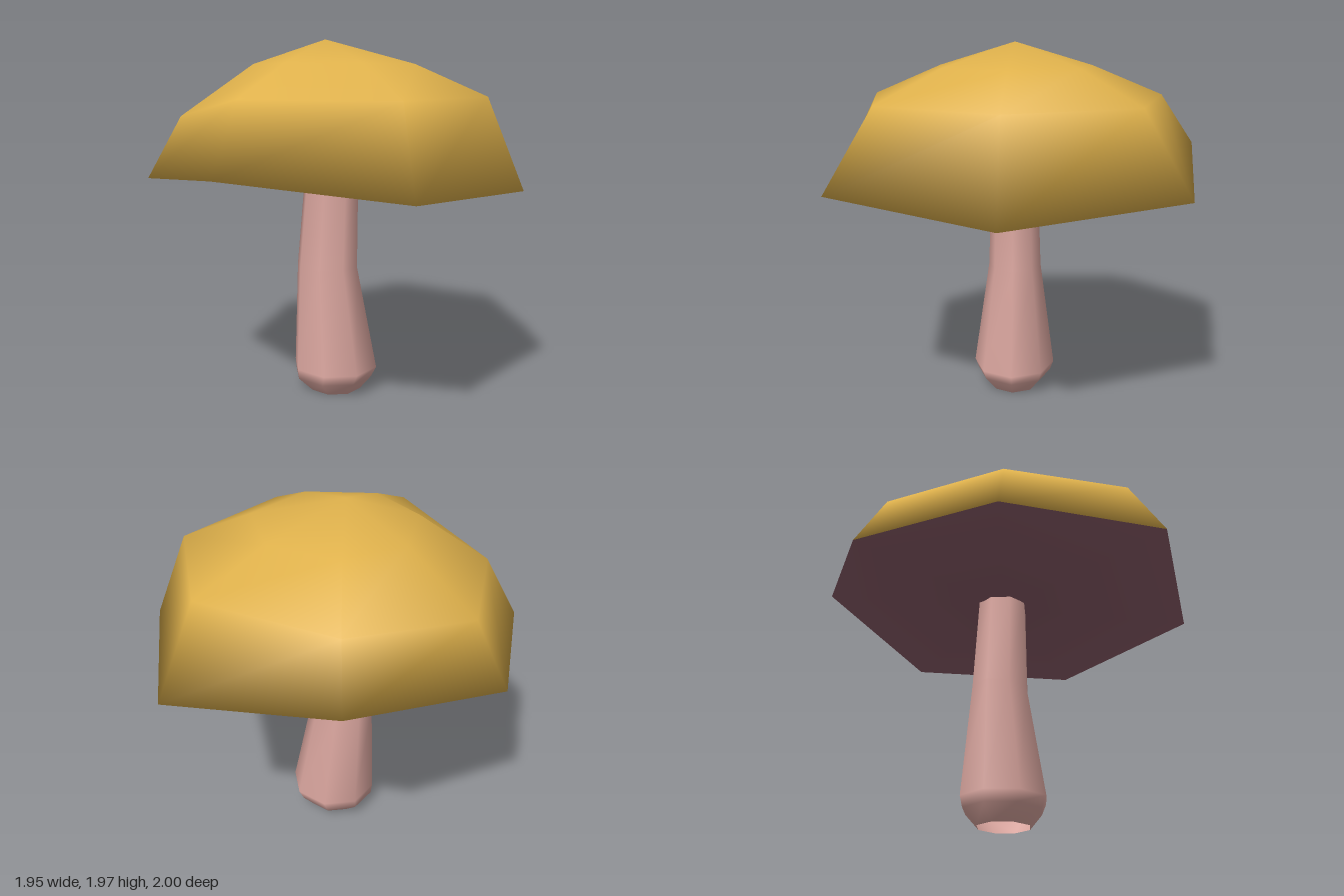
import * as THREE from 'three';

const gold = new THREE.MeshStandardMaterial({ color: 0xe0b24c, side: THREE.DoubleSide });
const plum = new THREE.MeshStandardMaterial({ color: 0x875a66, side: THREE.DoubleSide });
const pink = new THREE.MeshStandardMaterial({ color: 0xd9a59e, side: THREE.DoubleSide });
gold.name = 'capGold';
plum.name = 'gillPlum';
pink.name = 'stemPink';

// Joins equal-length rings, listed from bottom to top, into outward-facing walls
function loftIndex(rings, sides) {
  const index = [];
  for (let j = 0; j < rings - 1; j++) {
    for (let i = 0; i < sides; i++) {
      const a = j * sides + i, b = j * sides + (i + 1) % sides;
      index.push(a, a + sides, b, b, a + sides, b + sides);
    }
  }
  return index;
}

function smoothGeometry(points, index) {
  const g = new THREE.BufferGeometry();
  g.setAttribute('position', new THREE.Float32BufferAttribute(points.flat(), 3));
  g.setIndex(index);
  g.computeVertexNormals();
  return g;
}

// Seven-sided drooping cap, with the gill surface sharing the rim
function buildCap() {
  const rings = [
    [[0.97, 1.19, 0], [0.57, 1.245, 0.89], [-0.32, 1.33, 1], [-0.98, 1.235, 0.385],
      [-0.98, 1.235, -0.385], [-0.32, 1.4, -1], [0.57, 1.245, -0.89]],
    [[0.77, 1.67, 0], [0.46, 1.67, 0.65], [-0.27, 1.675, 0.81], [-0.8, 1.565, 0.33],
      [-0.8, 1.565, -0.33], [-0.27, 1.675, -0.81], [0.46, 1.67, -0.65]],
    [[0.39, 1.835, 0], [0.2, 1.838, 0.35], [-0.18, 1.838, 0.42], [-0.44, 1.835, 0.19],
      [-0.44, 1.835, -0.19], [-0.18, 1.838, -0.42], [0.2, 1.838, -0.35]],
  ];
  const n = 7, apex = 21, hub = 22;
  const points = [...rings.flat(), [-0.1, 1.965, 0], [-0.07, 1.22, 0]];
  const top = loftIndex(3, n), under = [];
  for (let i = 0; i < n; i++) {
    const k = (i + 1) % n;
    top.push(14 + i, apex, 14 + k);
    under.push(hub, i, k);
  }
  const g = smoothGeometry(points, [...top, ...under]);
  g.addGroup(0, top.length, 0);
  g.addGroup(top.length, under.length, 1);
  const mesh = new THREE.Mesh(g, [gold, plum]);
  mesh.name = 'cap';
  return mesh;
}

// Bent stem with a bulbous foot, open at the bottom
function buildStem() {
  const sides = 8, points = [];
  // height, centre x, radius in x, radius in z
  const rings = [
    [0, -0.05, 0.15, 0.14],
    [0.08, -0.06, 0.225, 0.21],
    [0.14, -0.048, 0.243, 0.23],
    [0.72, -0.095, 0.175, 0.148],
    [1.24, -0.068, 0.153, 0.13],
  ];
  for (const [y, cx, rx, rz] of rings) {
    for (let i = 0; i < sides; i++) {
      const a = (i / sides) * Math.PI * 2;
      points.push([cx + rx * Math.cos(a), y, rz * Math.sin(a)]);
    }
  }
  const mesh = new THREE.Mesh(smoothGeometry(points, loftIndex(rings.length, sides)), pink);
  mesh.name = 'stem';
  return mesh;
}

export function createModel() {
  const group = new THREE.Group();
  group.name = 'mushroom';
  group.add(buildCap(), buildStem());
  return group;
}
